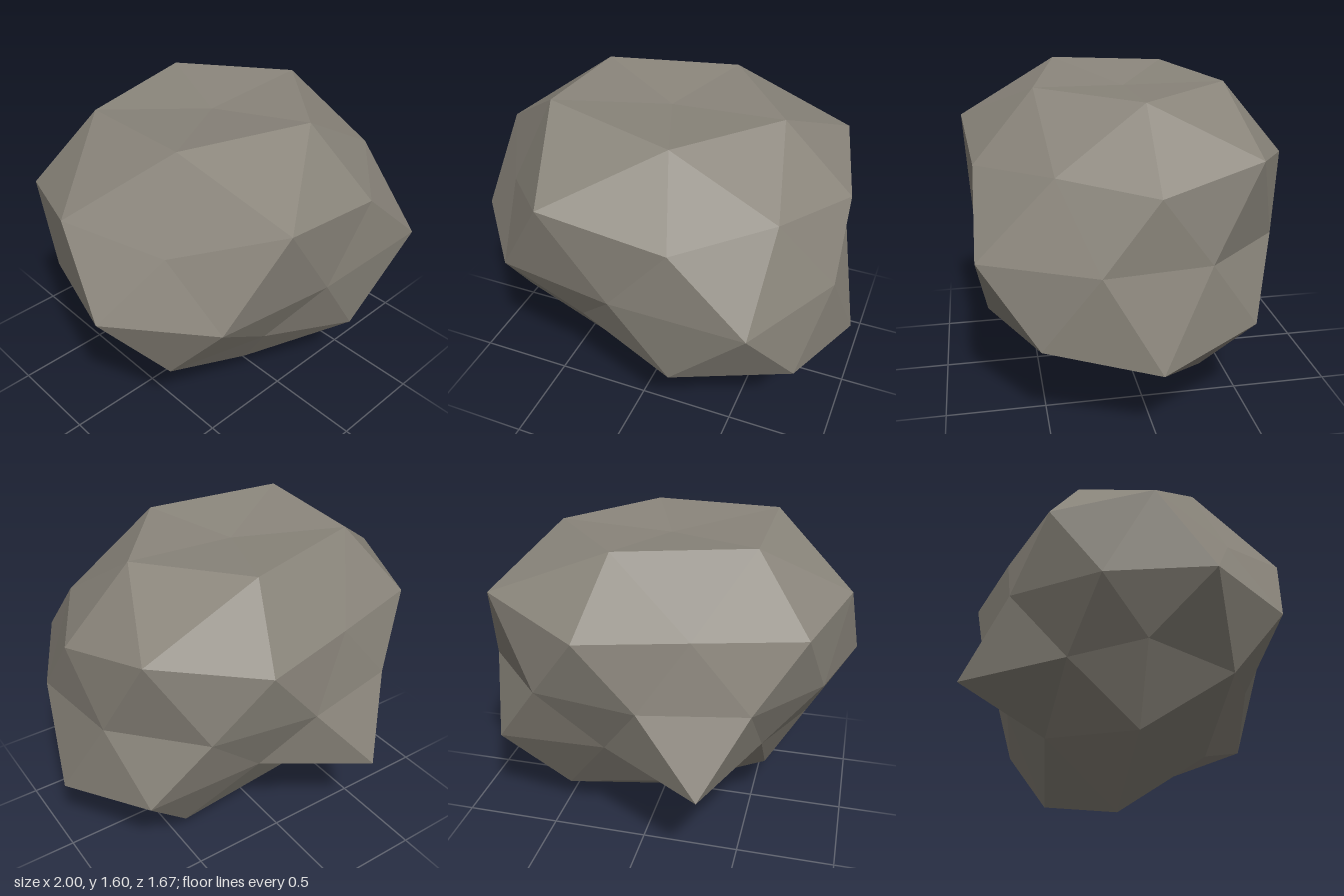
import * as THREE from 'three';

// A faceted boulder: a once-divided icosahedron standing on a pole, stretched
// along its axes, with every corner pushed in or out from the centre.
const CENTRE = new THREE.Vector3(-0.03, 0.875, 0);
const STRETCH = new THREE.Vector3(1, 0.73, 0.86);

// Each ring: latitude, first angle (degrees), then one radius per corner
const RINGS = {
  top: [90, 0, [0.897]],
  cap: [58.28, 0, [1.10, 1.115, 1.175, 1.13, 1.115]],
  upper: [26.57, 0, [1.045, 1.08, 0.94, 1.045, 1.042]],
  upperMid: [31.72, 36, [1.01, 1.205, 1.08, 0.90, 1.16]],
  belt: [0, 18, [1.0, 1.16, 0.935, 1.03, 1.02, 0.87, 0.895, 0.85, 0.92, 0.94]],
  lowerMid: [-31.72, 0, [1.21, 1.09, 0.98, 0.80, 0.81]],
  lower: [-26.57, 36, [1.18, 0.86, 0.83, 1.14, 1.11]],
  foot: [-58.28, 36, [0.97, 0.98, 1.023, 0.91, 1.18]],
  bottom: [-90, 0, [1.199]],
};

function ringPoints([latitude, start, radii]) {
  const lat = THREE.MathUtils.degToRad(latitude);
  return radii.map((r, i) => {
    const a = THREE.MathUtils.degToRad(start + (i * 360) / radii.length);
    return new THREE.Vector3(Math.cos(lat) * Math.cos(a), Math.sin(lat), Math.cos(lat) * Math.sin(a))
      .multiplyScalar(r).multiply(STRETCH).add(CENTRE);
  });
}

function boulderGeometry() {
  const p = {};
  for (const name in RINGS) p[name] = ringPoints(RINGS[name]);
  const corners = [];
  const face = (...points) => corners.push(...points);

  // Five identical sectors of sixteen triangles
  for (let k = 0; k < 5; k++) {
    const n = (k + 1) % 5;
    const [cap, capN] = [p.cap[k], p.cap[n]];
    const [up, upN, upMid] = [p.upper[k], p.upper[n], p.upperMid[k]];
    const [b0, b1, b2] = [p.belt[2 * k], p.belt[2 * k + 1], p.belt[(2 * k + 2) % 10]];
    const [low, lowN, lowMid] = [p.lower[k], p.lower[n], p.lowerMid[n]];
    const [foot, footN] = [p.foot[k], p.foot[n]];

    // crown
    face(p.top[0], capN, cap);
    face(cap, capN, upMid);
    face(cap, upMid, up);
    face(capN, upN, upMid);
    // upper belt
    face(up, upMid, b0);
    face(upMid, b1, b0);
    face(upMid, upN, b1);
    face(b0, b1, low);
    // lower belt
    face(upN, b2, b1);
    face(b1, b2, lowMid);
    face(b1, lowMid, low);
    face(b2, lowN, lowMid);
    // underside
    face(low, lowMid, foot);
    face(lowMid, lowN, footN);
    face(lowMid, footN, foot);
    face(foot, footN, p.bottom[0]);
  }
  const geometry = new THREE.BufferGeometry().setFromPoints(corners);
  geometry.computeVertexNormals();
  return geometry;
}

export function createModel() {
  const group = new THREE.Group();
  group.name = 'rock';
  const stone = new THREE.MeshStandardMaterial({ color: 0x8a857b, flatShading: true });
  stone.name = 'warm grey stone';
  const boulder = new THREE.Mesh(boulderGeometry(), stone);
  boulder.name = 'boulder';
  group.add(boulder);
  return group;
}
